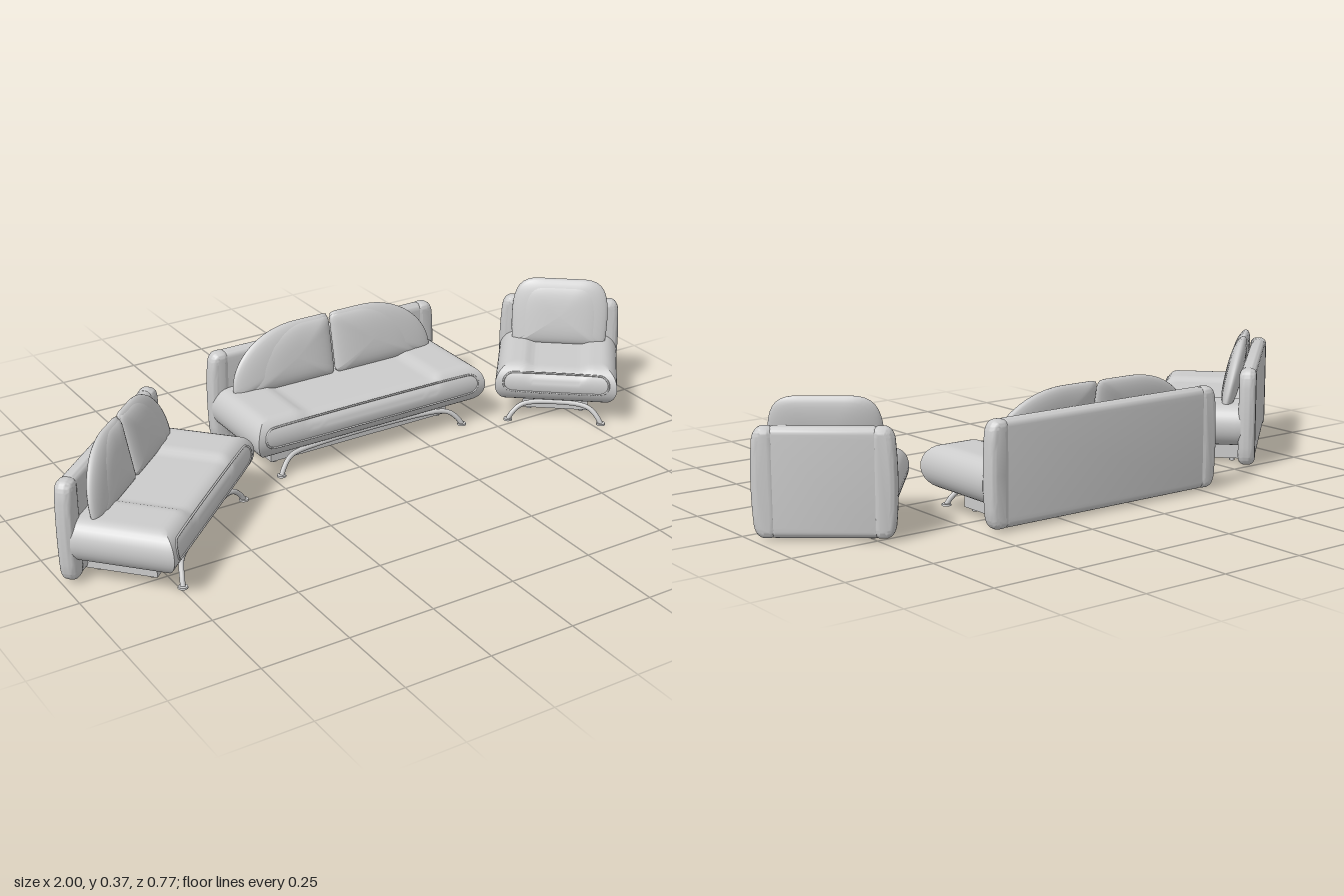
import * as THREE from 'three';
import { toCreasedNormals } from 'three/addons/utils/BufferGeometryUtils.js';

const material = new THREE.MeshStandardMaterial({ color: 0xcccccc });
const FRONT = 0.165, SEAT_Y = 0.121, SEAT_H = 0.061, ROLL = 0.05;

function add(group, name, geometry, x = 0, y = 0, z = 0) {
  const mesh = new THREE.Mesh(geometry, material);
  mesh.name = name;
  mesh.position.set(x, y, z);
  group.add(mesh);
  return mesh;
}

// How far the seat side is drawn in at height v (-1 bottom, 1 top)
const inset = v => ROLL * (1 - Math.sqrt(Math.max(0, 1 - v * v)));

// Seat with rolled front and sides and a slightly sunken middle panel
function seatGeometry(w, seam) {
  const hw = w / 2, back = -0.12, depth = FRONT - back;
  const g = new THREE.BoxGeometry(w, 2, depth, 48, 16, 16);
  const p = g.attributes.position;
  for (let i = 0; i < p.count; i++) {
    const v = Math.sin(p.getY(i) * Math.PI / 2), d = inset(v);
    const x = p.getX(i) * (1 - d / hw);
    const t = p.getZ(i) / depth + 0.5;
    const dip = 0.012 * (1 - THREE.MathUtils.smoothstep(Math.abs(x), seam - 0.02, seam + 0.02));
    p.setXYZ(i, x, SEAT_Y + v * SEAT_H - dip * Math.max(0, v), back + t * (depth - d));
  }
  return toCreasedNormals(g, 0.7);
}

// Stadium-shaped welt lying on the rolled front of the seat
function weltGeometry(hw) {
  const pts = [], r = 0.029;
  for (let i = 0; i < 32; i++) {
    const a = (i + 0.5) / 32 * Math.PI * 2;
    const dy = r * Math.sin(a);
    pts.push(new THREE.Vector3(Math.sign(Math.cos(a)) * (hw - r) + r * Math.cos(a), SEAT_Y + 0.01 + dy,
      FRONT - inset((dy + 0.01) / SEAT_H)));
  }
  const curve = new THREE.CatmullRomCurve3(pts, true, 'centripetal');
  return new THREE.TubeGeometry(curve, 120, 0.003, 6, true);
}

// Soft pillow: rings shrinking from a counterclockwise outline to its middle
function pillowGeometry(outline, thick) {
  const n = outline.length, rows = 16;
  const c = outline.reduce((s, q) => s.add(q), new THREE.Vector2()).divideScalar(n);
  const g = new THREE.SphereGeometry(1, n, rows);
  const p = g.attributes.position;
  for (let i = 0; i < p.count; i++) {
    const a = Math.floor(i / (n + 1)) / rows * Math.PI, q = outline[(i % (n + 1)) % n];
    const s = Math.pow(Math.max(0, Math.sin(a)), 0.75);
    p.setXYZ(i, c.x + (q.x - c.x) * s, c.y + (q.y - c.y) * s, Math.cos(a) * thick);
  }
  g.computeVertexNormals();
  return g;
}

// Half of a two-part dome, on the side given by sign
function halfDome(hw, h, sign) {
  const s = new THREE.Shape();
  s.moveTo(0.003, 0.01);
  s.quadraticCurveTo(0.003, 0, 0.013, 0);
  s.lineTo(hw * 0.97, 0);
  s.bezierCurveTo(hw * 1.02, h * 0.45, hw * 0.74, h, hw * 0.32, h);
  s.lineTo(0.016, h);
  s.quadraticCurveTo(0.003, h, 0.003, h - 0.016);
  s.closePath();
  const pts = s.getSpacedPoints(60).slice(0, 60);
  return sign > 0 ? pts : pts.map(q => new THREE.Vector2(-q.x, q.y)).reverse();
}

// Single tall arch
function arch(hw, h) {
  const s = new THREE.Shape();
  s.moveTo(-hw * 0.95, 0);
  s.lineTo(hw * 0.95, 0);
  s.bezierCurveTo(hw * 1.04, h * 0.75, hw * 0.95, h, hw * 0.45, h);
  s.lineTo(-hw * 0.45, h);
  s.bezierCurveTo(-hw * 0.95, h, -hw * 1.04, h * 0.75, -hw * 0.95, 0);
  return s.getSpacedPoints(60).slice(0, 60);
}

// Upholstered panel with bowed sides; x0 and x1 are its edges at mid height
function boardGeometry(x0, x1, thick, bow0, bow1, round0, round1) {
  const b = 0.02, y0 = 0.005 + b, y1 = 0.296 - b, m = (y0 + y1) / 2;
  const side = b * 0.5, l = x0 + side, r = x1 - side;
  const s = new THREE.Shape();
  s.moveTo(l + bow0 + round0, y0);
  s.lineTo(r - bow1 - round1, y0);
  s.quadraticCurveTo(r - bow1, y0, r - bow1 * 0.6, y0 + round1 + 0.01);
  s.quadraticCurveTo(r + bow1 * 0.6, m, r - bow1 * 0.6, y1 - round1 - 0.01);
  s.quadraticCurveTo(r - bow1, y1, r - bow1 - round1, y1);
  s.lineTo(l + bow0 + round0, y1);
  s.quadraticCurveTo(l + bow0, y1, l + bow0 * 0.6, y1 - round0 - 0.01);
  s.quadraticCurveTo(l - bow0 * 0.6, m, l + bow0 * 0.6, y0 + round0 + 0.01);
  s.quadraticCurveTo(l + bow0, y0, l + bow0 + round0, y0);
  const g = new THREE.ExtrudeGeometry(s, {
    depth: thick - 2 * b, bevelThickness: b, bevelSize: b, bevelSegments: 6, curveSegments: 10
  });
  g.translate(0, 0, -thick / 2 + b);
  return toCreasedNormals(g, 0.7);
}

// One seat unit: w wide, facing +z
function buildUnit(name, w, cushions, seam, legX) {
  const unit = new THREE.Group();
  unit.name = name;
  const hw = w / 2;

  add(unit, 'seat', seatGeometry(w, seam));
  add(unit, 'seatFrontWelt', weltGeometry(hw - 0.025));

  // Back board: middle panel and two padded ends
  const end = 0.055;
  add(unit, 'backPanel', boardGeometry(-hw + end - 0.012, hw - end + 0.012, 0.045, 0.004, 0.004, 0.003, 0.003), 0, 0, -0.137);
  add(unit, 'backEndLeft', boardGeometry(hw - end, hw - 0.008, 0.05, 0, 0.008, 0.002, 0.006), 0, 0, -0.137);
  add(unit, 'backEndRight', boardGeometry(-hw + 0.008, -hw + end, 0.05, 0.008, 0, 0.006, 0.002), 0, 0, -0.137);

  // Leaning back cushions, each a gusset with a fuller front panel
  const back = new THREE.Group();
  back.name = 'backCushions';
  back.position.set(0, 0.165, -0.07);
  back.rotation.x = -0.2;
  unit.add(back);
  if (cushions === 1) {
    add(back, 'cushionGusset', pillowGeometry(arch(0.152, 0.207), 0.025));
    add(back, 'cushionFront', pillowGeometry(arch(0.132, 0.195), 0.024), 0, 0, 0.004);
  } else {
    for (const sign of [-1, 1]) {
      const side = sign > 0 ? 'Left' : 'Right';
      add(back, 'cushionGusset' + side, pillowGeometry(halfDome(hw - 0.04, 0.189, sign), 0.024));
      add(back, 'cushionFront' + side, pillowGeometry(halfDome((hw - 0.04) * 0.85, 0.183, sign), 0.024), 0, 0, 0.004);
    }
  }

  // Plinth under the seat with small feet
  const px = hw - 0.085;
  add(unit, 'plinth', new THREE.BoxGeometry(px * 2, 0.06, 0.2), 0, 0.04, -0.02);
  for (const x of [-1, 1]) for (const z of [-0.09, 0.06])
    add(unit, 'plinthFoot', new THREE.CylinderGeometry(0.008, 0.008, 0.012, 12), x * (px - 0.02), 0.006, z);

  // Arched tubular front leg with flat feet
  const half = [[0, 0.003, 0.155], [0.012, 0.022, 0.149], [0.035, 0.043, 0.139], [0.07, 0.052, 0.13]];
  const pts = half.map(([d, y, z]) => new THREE.Vector3(legX - d, y, z));
  const mirrored = half.map(([d, y, z]) => new THREE.Vector3(d - legX, y, z)).reverse();
  const path = new THREE.CatmullRomCurve3([...pts, ...mirrored], false, 'centripetal');
  add(unit, 'frontLeg', new THREE.TubeGeometry(path, 64, 0.0075, 10));
  for (const x of [-legX, legX])
    add(unit, 'legFoot', new THREE.CylinderGeometry(0.013, 0.014, 0.005, 16), x, 0.0025, 0.155);
  return unit;
}

export function createModel() {
  const model = new THREE.Group();
  model.name = 'sofaSet';
  const place = (unit, x, z, degrees) => {
    unit.position.set(x, 0, z);
    unit.rotation.y = THREE.MathUtils.degToRad(degrees);
    model.add(unit);
  };
  place(buildUnit('largeSofa', 0.79, 2, 0.23, 0.318), 0.095, -0.225, 0);
  place(buildUnit('smallSofa', 0.63, 2, 0.15, 0.243), -0.668, 0.046, 42.4);
  place(buildUnit('armchair', 0.37, 1, 0.085, 0.142), 0.761, -0.053, -39);
  return model;
}
